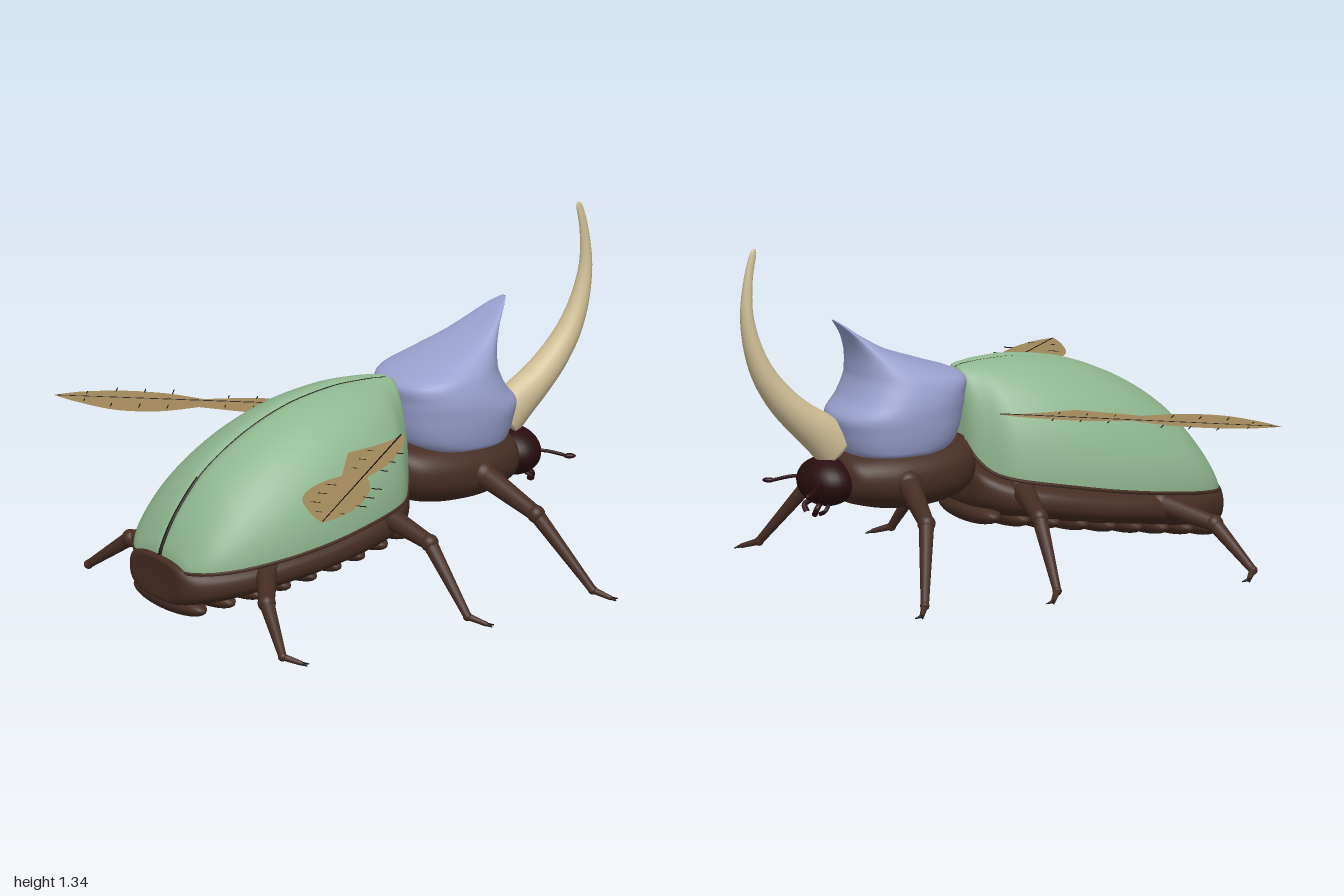
import * as THREE from 'three';

const mat = (name, color, side = THREE.FrontSide) => {
  const m = new THREE.MeshStandardMaterial({ color, side });
  m.name = name;
  return m;
};
const V = (x, y, z) => new THREE.Vector3(x, y, z);

// Smoothly resample rows of section values
function smooth(rows, n) {
  const cols = rows[0].map((_, c) => new THREE.SplineCurve(rows.map((r, i) => new THREE.Vector2(i, r[c]))));
  return Array.from({ length: n + 1 }, (_, i) => cols.map(s => s.getPoint(i / n).y));
}

// Skin a list of rings; closed rings get end caps
function loft(rings, closed = true) {
  const n = rings[0].length, pts = rings.flat(), idx = [];
  for (let j = 0; j < rings.length - 1; j++)
    for (let i = 0; i < (closed ? n : n - 1); i++) {
      const a = j * n + i, b = j * n + (i + 1) % n;
      idx.push(a, a + n, b, b, a + n, b + n);
    }
  if (closed) for (const [k, last] of [[0, false], [rings.length - 1, true]]) {
    const c = pts.length, base = k * n;
    pts.push(rings[k].reduce((s, p) => s.add(p), V(0, 0, 0)).divideScalar(n));
    for (let i = 0; i < n; i++) {
      const a = base + i, b = base + (i + 1) % n;
      last ? idx.push(c, b, a) : idx.push(c, a, b);
    }
  }
  const g = new THREE.BufferGeometry().setFromPoints(pts);
  g.setIndex(idx);
  g.computeVertexNormals();
  return g;
}

// Superellipse point, as [cos, sin] with power e
const sup = (a, e) => [Math.cos(a), Math.sin(a)].map(v => Math.sign(v) * Math.abs(v) ** (2 / e));
const ring = (n, f) => Array.from({ length: n }, (_, i) => f(i / n * Math.PI * 2));

export function createModel() {
  const green = mat('wing case green', 0x8fb68f, THREE.DoubleSide);
  const blue = mat('shield blue', 0x9aa1cf);
  const brown = mat('body brown', 0x452d23);
  const maroon = mat('head maroon', 0x280d0f);
  const tan = mat('horn tan', 0xd0bf96);
  const wingMat = mat('wing amber', 0x9f875a, THREE.DoubleSide);
  const dark = mat('vein black', 0x17110d);

  const model = new THREE.Group();
  model.name = 'hornedBeetle';
  const add = (name, geo, m, parent = model) => {
    const mesh = new THREE.Mesh(geo, m);
    mesh.name = name;
    parent.add(mesh);
    return mesh;
  };
  const ball = (name, m, p, r, parent) => {
    const b = add(name, new THREE.SphereGeometry(1, 28, 18), m, parent);
    b.position.copy(p);
    b.scale.set(...r);
    return b;
  };
  const limb = (name, m, p, q, r1, r2, parent) => {
    const d = q.clone().sub(p);
    const c = add(name, new THREE.CylinderGeometry(r2, r1, d.length(), 14), m, parent);
    c.position.copy(p).addScaledVector(d, 0.5);
    c.quaternion.setFromUnitVectors(V(0, 1, 0), d.normalize());
    return c;
  };
  const tube = (name, pts, r, m, parent) =>
    add(name, new THREE.TubeGeometry(new THREE.CatmullRomCurve3(pts), 48, r, 8), m, parent);
  // Body sections along x: x, bottom, top, half width
  const body = (rows, e) => loft(smooth(rows, 40).map(([x, b, t, w]) => ring(48, a => {
    const [c, s] = sup(a, e);
    return V(x, (b + t) / 2 + s * (t - b) / 2, c * w);
  })));

  // Wing cases: x, edge height, crown height, half width
  const shell = smooth([
    [-0.98, 0.25, 0.27, 0.13], [-0.965, 0.255, 0.33, 0.2], [-0.9, 0.265, 0.45, 0.275],
    [-0.78, 0.28, 0.59, 0.33], [-0.6, 0.305, 0.71, 0.365], [-0.4, 0.335, 0.79, 0.367],
    [-0.2, 0.37, 0.825, 0.338], [-0.05, 0.395, 0.826, 0.285], [0.03, 0.425, 0.82, 0.2],
    [0.075, 0.5, 0.81, 0.125], [0.085, 0.6, 0.76, 0.04]], 70);
  const shellPoint = ([x, b, t, w], a) => {
    const z = w * Math.cos(a);
    const groove = Math.sin(a) > 0.8 ? 0.012 * Math.exp(-((z / 0.015) ** 2)) : 0;
    return V(x, b + (t - b) * Math.sin(a) - groove, z);
  };
  for (const [side, start] of [['right', 0], ['left', Math.PI / 2]]) {
    add(side + 'WingCase', loft(shell.map(r =>
      Array.from({ length: 37 }, (_, i) => shellPoint(r, start + i / 36 * Math.PI / 2))), false), green);
    const edge = shell.slice(0, 66).filter((_, i) => i % 5 === 0);
    tube(side + 'WingCaseRim', edge.map(r => shellPoint(r, side === 'right' ? 0 : Math.PI)), 0.007, brown);
  }
  const seam = shell.slice(2, 64).map(r => shellPoint(r, Math.PI / 2));
  tube('seam', seam, 0.004, dark);
  tube('rearSeamGap', seam.filter(p => p.x < -0.78), 0.009, dark);

  // Abdomen with rounded belly segments
  add('abdomen', body([
    [-1, 0.14, 0.26, 0.12], [-0.995, 0.11, 0.28, 0.18], [-0.94, 0.1, 0.285, 0.24], [-0.8, 0.115, 0.295, 0.3],
    [-0.6, 0.145, 0.315, 0.335], [-0.4, 0.17, 0.34, 0.335], [-0.2, 0.2, 0.375, 0.31],
    [-0.05, 0.225, 0.4, 0.26], [0.05, 0.26, 0.43, 0.18], [0.07, 0.31, 0.41, 0.1]], 2.6), brown);
  for (let i = 0; i < 9; i++) {
    const t = i / 8;
    ball('bellySegment', brown, V(-0.93 + 0.94 * t, 0.105 + 0.135 * t, 0),
      [0.067, 0.048, 0.2 + 0.09 * Math.sin(Math.PI * (0.12 + 0.8 * t))]);
  }

  // Thorax underside
  add('thorax', body([
    [0.05, 0.38, 0.5, 0.09], [0.06, 0.35, 0.54, 0.14], [0.13, 0.31, 0.55, 0.19], [0.25, 0.288, 0.55, 0.215],
    [0.4, 0.288, 0.54, 0.215], [0.52, 0.31, 0.525, 0.18], [0.58, 0.335, 0.51, 0.14], [0.61, 0.38, 0.47, 0.07]], 2.3), brown);

  // Shield in level slices: height, back x, front x, half width
  add('shield', loft(smooth([
    [0.505, 0.25, 0.53, 0.15], [0.515, 0.17, 0.555, 0.2], [0.545, 0.12, 0.575, 0.217], [0.6, 0.095, 0.592, 0.23],
    [0.66, 0.082, 0.602, 0.237], [0.72, 0.075, 0.555, 0.236], [0.79, 0.072, 0.525, 0.218],
    [0.835, 0.19, 0.52, 0.188], [0.9, 0.375, 0.525, 0.135], [0.965, 0.495, 0.548, 0.085],
    [1.01, 0.56, 0.582, 0.045], [1.035, 0.598, 0.607, 0.012]], 50).map(([y, x0, x1, w]) => ring(56, a => {
    const [c, s] = sup(a, 2.35);
    return V((x0 + x1) / 2 + c * (x1 - x0) / 2, y, s * w);
  }))), blue);

  // Curved horn: x, y, thickness, half width
  const horn = smooth([
    [0.59, 0.53, 0.085, 0.062], [0.66, 0.598, 0.081, 0.066], [0.745, 0.665, 0.068, 0.066], [0.83, 0.747, 0.058, 0.06],
    [0.905, 0.85, 0.047, 0.05], [0.955, 0.97, 0.035, 0.038], [0.979, 1.1, 0.025, 0.026],
    [0.972, 1.23, 0.018, 0.016], [0.952, 1.325, 0.014, 0.009], [0.944, 1.348, 0.005, 0.004]], 50);
  add('horn', loft(horn.map(([x, y, r, w], i) => {
    const p = horn[Math.max(i - 1, 0)], q = horn[Math.min(i + 1, horn.length - 1)];
    const t = new THREE.Vector2(q[0] - p[0], q[1] - p[1]).normalize();
    return ring(24, a => V(x + t.y * r * Math.cos(a), y - t.x * r * Math.cos(a), w * Math.sin(a)));
  })), tan);

  ball('head', maroon, V(0.635, 0.41, 0), [0.105, 0.095, 0.14]);

  // Legs: hip, knee, ankle, toe
  const legs = {
    front: [[0.38, 0.41, 0.19], [0.445, 0.31, 0.46], [0.565, 0.04, 0.67], [0.61, 0.015, 0.73]],
    middle: [[-0.1, 0.35, 0.21], [-0.045, 0.285, 0.46], [-0.01, 0.04, 0.67], [0.04, 0.015, 0.73]],
    hind: [[-0.67, 0.24, 0.27], [-0.8, 0.185, 0.47], [-0.86, 0.035, 0.67], [-0.81, 0.015, 0.73]],
  };
  for (const s of [1, -1]) {
    const side = s > 0 ? 'right' : 'left';
    const P = ([x, y, z]) => V(x, y, z * s);
    for (const [name, joints] of Object.entries(legs)) {
      const leg = new THREE.Group();
      leg.name = side + name[0].toUpperCase() + name.slice(1) + 'Leg';
      model.add(leg);
      const [hip, knee, ankle, toe] = joints.map(P);
      ball('hip', brown, hip, [0.055, 0.055, 0.055], leg);
      limb('thigh', brown, hip, knee, 0.046, 0.03, leg);
      ball('knee', brown, knee, [0.035, 0.035, 0.035], leg);
      limb('shin', brown, knee, ankle, 0.03, 0.016, leg);
      ball('ankle', brown, ankle, [0.018, 0.018, 0.018], leg);
      limb('foot', brown, ankle, toe, 0.014, 0.009, leg);
      limb('claw', dark, toe, toe.clone().add(V(0.03, -0.006, 0.002 * s)), 0.007, 0.002, leg);
      limb('claw', dark, toe, toe.clone().add(V(0.008, -0.006, 0.022 * s)), 0.007, 0.002, leg);
    }

    // Feelers, jaws and mouth feelers
    tube(side + 'Feeler', [[0.69, 0.42, 0.09], [0.73, 0.415, 0.115], [0.78, 0.4, 0.15]].map(P), 0.007, maroon);
    const club = ball(side + 'FeelerClub', maroon, P([0.795, 0.398, 0.165]), [0.024, 0.01, 0.012]);
    club.rotation.y = -0.6 * s;
    tube(side + 'Jaw', [[0.67, 0.34, 0.03], [0.7, 0.315, 0.05], [0.7, 0.288, 0.03]].map(P), 0.011, maroon);
    tube(side + 'MouthFeeler', [[0.65, 0.34, 0.06], [0.68, 0.31, 0.08], [0.69, 0.295, 0.055]].map(P), 0.008, maroon);

    // Spread hind wing, drawn in x and z
    const wing = new THREE.Group();
    wing.name = side + 'Wing';
    model.add(wing);
    const lobe = pts => new THREE.SplineCurve(pts.map(([x, z]) => new THREE.Vector2(x, -z * s))).getPoints(24);
    const outline = [
      ...lobe([[0, 0.2], [-0.02, 0.25], [-0.1, 0.35], [-0.24, 0.475], [-0.4, 0.565]]),
      ...lobe([[-0.4, 0.565], [-0.48, 0.7], [-0.6, 0.82], [-0.74, 0.9], [-0.85, 0.925]]),
      ...lobe([[-0.85, 0.925], [-0.82, 0.8], [-0.75, 0.64], [-0.62, 0.535], [-0.47, 0.495]]),
      ...lobe([[-0.47, 0.495], [-0.38, 0.38], [-0.3, 0.28]]),
      ...lobe([[-0.3, 0.28], [-0.2, 0.265], [-0.1, 0.235], [0, 0.2]])];
    const sheet = add('wingSheet', new THREE.ShapeGeometry(new THREE.Shape(outline)), wingMat, wing);
    sheet.rotation.x = -Math.PI / 2;
    sheet.position.y = 0.645;
    const root = P([-0.01, 0.645, 0.21]), tip = P([-0.84, 0.645, 0.915]);
    limb('mainVein', dark, root, tip, 0.003, 0.002, wing);
    const across = P([0.65, 0, 0.76]);
    for (const t of [0.2, 0.3, 0.4, 0.6, 0.7, 0.8, 0.9])
      for (const k of [-1, 1]) {
        const w = (t < 0.5 ? 0.045 : t > 0.85 ? 0.035 : 0.07) * k;
        const c = root.clone().lerp(tip, t);
        limb('crossVein', dark, c.clone().addScaledVector(across, w), c.clone().addScaledVector(across, w * 1.6), 0.002, 0.002, wing);
      }
  }
  return model;
}
